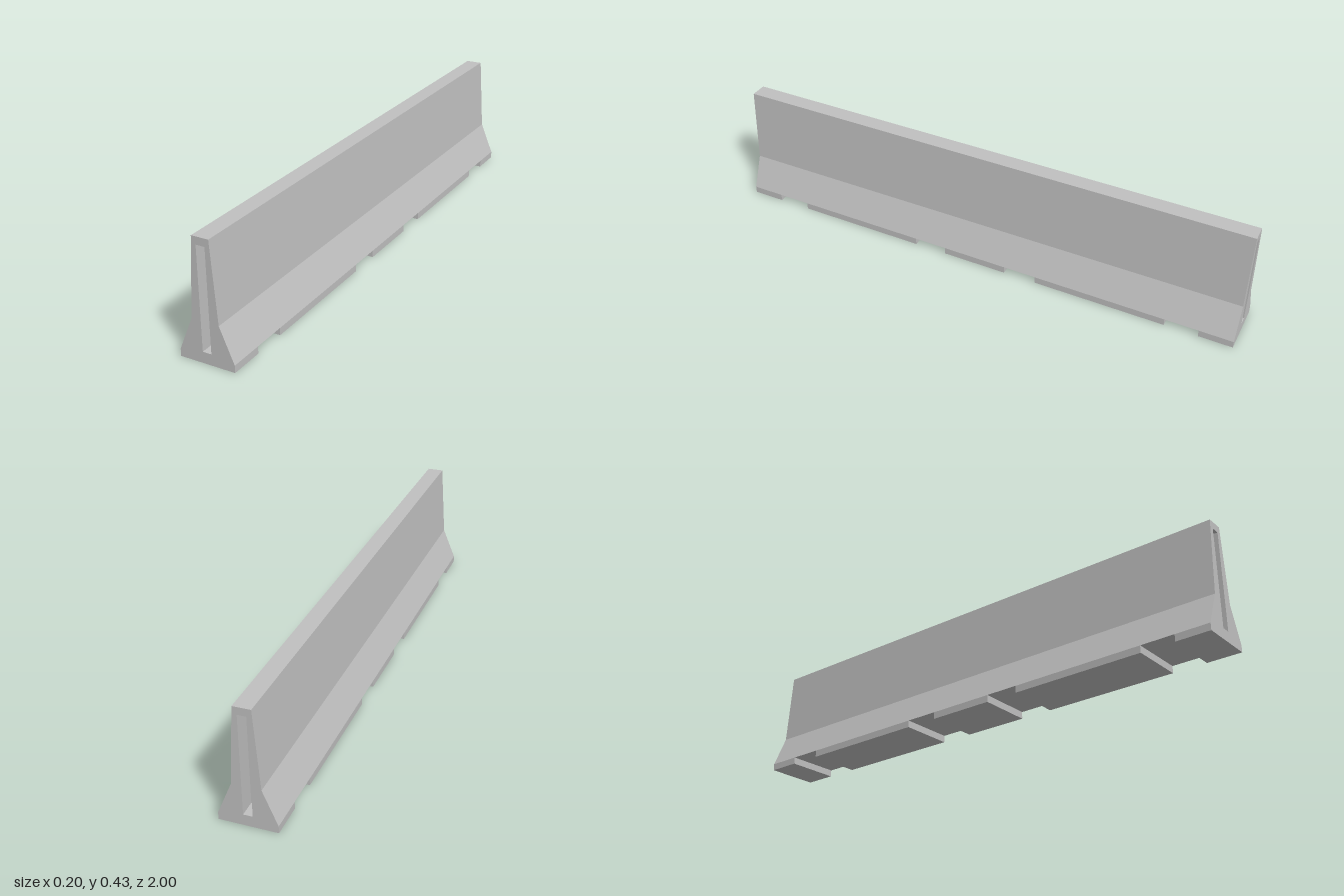
import * as THREE from 'three';

export function createModel() {
  const model = new THREE.Group();
  model.name = 'roadBarrier';
  const concrete = new THREE.MeshStandardMaterial({ color: 0xc0c0c0 });
  concrete.name = 'concrete grey';

  const padHeight = 0.026, slotDepth = 0.06, halfLength = 1;

  // Half of the cross-section, mirrored into a closed outline
  const half = [[0.101, padHeight], [0.05, 0.148], [0.031, 0.43]];
  const outline = [...half, ...half.map(([x, y]) => [-x, y]).reverse()];
  const profile = () => new THREE.Shape(outline.map(([x, y]) => new THREE.Vector2(x, y)));

  function add(name, geometry, z) {
    const mesh = new THREE.Mesh(geometry, concrete);
    mesh.name = name;
    mesh.position.z = z;
    model.add(mesh);
    return mesh;
  }
  const extrude = (shape, depth) =>
    new THREE.ExtrudeGeometry(shape, { depth, bevelEnabled: false });

  // Solid wall between the end slots
  const inner = halfLength - slotDepth;
  add('wall', extrude(profile(), inner * 2), -inner);

  // Slotted ends: same profile with a tall rectangular recess
  const slotted = profile();
  slotted.holes.push(new THREE.Path([[-0.016, 0.04], [-0.016, 0.403], [0.016, 0.403], [0.016, 0.04]]
    .map(([x, y]) => new THREE.Vector2(x, y))));
  add('frontSlottedEnd', extrude(slotted, slotDepth), inner);
  add('backSlottedEnd', extrude(slotted, slotDepth), -halfLength);

  // Foot pads, separated by drainage and lifting gaps
  const pads = [[-1, -0.875], [-0.75, -0.25], [-0.125, 0.125], [0.25, 0.75], [0.875, 1]];
  pads.forEach(([a, b], i) => {
    const pad = add(`footPad${i + 1}`, new THREE.BoxGeometry(0.202, padHeight, b - a), (a + b) / 2);
    pad.position.y = padHeight / 2;
  });

  return model;
}
